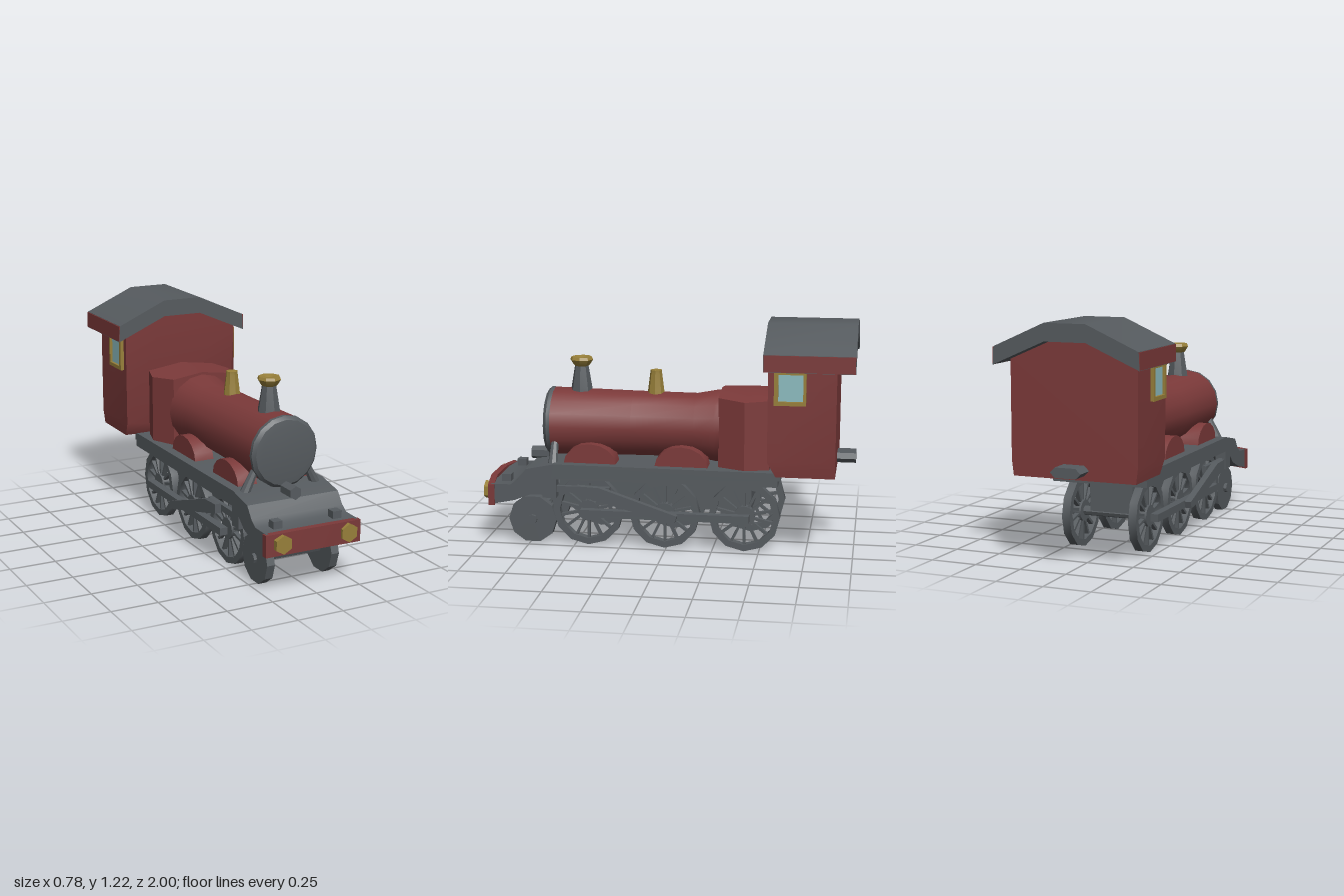
import * as THREE from 'three';
import { toCreasedNormals } from 'three/addons/utils/BufferGeometryUtils.js';

const mat = (name, color) => {
  const m = new THREE.MeshStandardMaterial({ color });
  m.name = name;
  return m;
};

export function createModel() {
  const red = mat('dark red paint', 0x7c3a3a);
  const grey = mat('iron grey', 0x565b5f);
  const gold = mat('brass', 0x98803a);
  const glass = mat('window glass', 0x8dbcc0);
  const model = new THREE.Group();
  model.name = 'steamLocomotive';

  // helpers
  const add = (name, geo, m, parent = model) => {
    const mesh = new THREE.Mesh(toCreasedNormals(geo, 0.6), m);
    mesh.name = name;
    parent.add(mesh);
    return mesh;
  };
  const box = (x0, x1, y0, y1, z0, z1) =>
    new THREE.BoxGeometry(Math.abs(x1 - x0), y1 - y0, z1 - z0)
      .translate((x0 + x1) / 2, (y0 + y1) / 2, (z0 + z1) / 2);
  const shape = pts => new THREE.Shape(pts.map(p => new THREE.Vector2(...p)));
  const extrude = (s, depth) =>
    new THREE.ExtrudeGeometry(s, { depth, bevelEnabled: false, curveSegments: 6 });
  // side profile given as [z, y], spanning x0 to x1
  const sideways = (s, x0, x1) => extrude(s, x1 - x0).rotateY(-Math.PI / 2).translate(x1, 0, 0);
  // front profile given as right half [x, y] from top to bottom, spanning z0 to z1
  const symmetric = (half, z0, z1) =>
    extrude(shape([...half, ...half.map(([x, y]) => [-x, y]).reverse()]), z1 - z0).translate(0, 0, z0);
  // moves each vertex by a rule
  const warp = (geo, rule) => {
    const p = geo.attributes.position, v = new THREE.Vector3();
    for (let i = 0; i < p.count; i++) {
      rule(v.fromBufferAttribute(p, i));
      p.setXYZ(i, v.x, v.y, v.z);
    }
    return geo;
  };
  // profile of [radius, distance] turned about an axis
  const lathe = (pts, sides) => new THREE.LatheGeometry(pts.map(p => new THREE.Vector2(...p)), sides);

  // boiler, flaring toward the firebox
  add('boiler', lathe([[0.198, -0.28], [0.196, -0.25], [0.175, -0.14], [0.178, 0.2], [0.187, 0.655]], 16)
    .rotateX(Math.PI / 2).translate(0, 0.642, 0), red);
  add('smokeboxDoor', lathe([[0.189, 0.64], [0.189, 0.66], [0.172, 0.678], [0.14, 0.683], [0, 0.687]], 16)
    .rotateX(Math.PI / 2).translate(0, 0.642, 0), grey);

  // firebox with a six-sided plan and a gently peaked top
  add('firebox', warp(new THREE.BoxGeometry(2, 1, 2, 2, 1, 2), v => {
    v.x *= [0.2, 0.238, 0.175][Math.round(v.z) + 1];
    v.z = [-0.55, -0.42, -0.275][Math.round(v.z) + 1];
    v.y = v.y > 0 ? 0.853 - 0.14 * Math.abs(v.x) : 0.45;
  }), red);

  // chimney and dome
  add('chimney', lathe([[0.062, 0.78], [0.058, 0.83], [0.037, 0.955]], 8).translate(0, 0, 0.495), grey);
  add('chimneyCap', lathe([[0.036, 0.95], [0.044, 0.955], [0.063, 0.985], [0.056, 1], [0.03, 1], [0, 0.985]], 8)
    .translate(0, 0, 0.495), gold);
  add('steamDome', lathe([[0.048, 0.79], [0.044, 0.83], [0.032, 0.925], [0.032, 0.938], [0, 0.942]], 8)
    .translate(0, 0, 0.085), gold);

  // cab with a raked lower front edge
  add('cab', warp(symmetric([[0.11, 1.135], [0.34, 1.04], [0.34, 0.53], [0.33, 0.45]], -0.9, -0.548), v => {
    if (v.y < 0.5 && v.z > -0.6) v.z -= 0.045;
  }), red);
  add('roof', symmetric([[0.11, 1.224], [0.383, 1.102], [0.388, 1.012], [0.34, 1.033], [0.11, 1.134]],
    -0.995, -0.525), grey);

  // footplate, stepping down to the front deck
  add('footplate', sideways(shape([[-0.615, 0.41], [-0.615, 0.452], [0.6, 0.457], [0.755, 0.425], [0.8, 0.365],
    [0.84, 0.337], [0.95, 0.335], [0.94, 0.225], [0.82, 0.25], [0.72, 0.29], [0.62, 0.375], [-0.6, 0.375],
    [-0.6, 0.41]]), -0.262, 0.262), grey);
  add('mainFrame', box(-0.12, 0.12, 0.2, 0.39, -0.45, 0.6), grey);

  // buffer beam, swept back at both ends
  add('bufferBeam', warp(new THREE.BoxGeometry(0.54, 0.115, 0.035, 4, 1, 1), v => {
    const a = Math.abs(v.x);
    if (a > 0.1 && a < 0.2) v.x *= 0.75;
    const t = Math.max(0, Math.abs(v.x) - 0.1) / 0.17;
    v.y += 0.288 - 0.012 * t;
    v.z += 0.973 - 0.026 * t;
  }), red);

  // front lamp and rear coupling
  add('frontLamp', new THREE.CylinderGeometry(0.036, 0.036, 0.1, 6).rotateX(Math.PI / 2)
    .translate(0, 0.457, 0.73), grey);
  add('rearCoupling', symmetric([[0.055, 0.526], [0.082, 0.5], [0.055, 0.474]], -1, -0.88), grey);

  // driving wheel: rim, spokes and hub
  const ring = (outer, inner) => {
    const s = new THREE.Shape().absarc(0, 0, outer, 0, Math.PI * 2);
    s.holes.push(new THREE.Path().absarc(0, 0, inner, 0, Math.PI * 2, true));
    return s;
  };
  const drivingWheel = (x, z) => {
    const wheel = new THREE.Group();
    wheel.name = 'drivingWheel';
    wheel.position.set(x, 0.193, z);
    add('rim', sideways(ring(0.192, 0.157), -0.022, 0.022), grey, wheel);
    add('hub', new THREE.CylinderGeometry(0.058, 0.058, 0.044, 12).rotateZ(Math.PI / 2), grey, wheel);
    for (let i = 0; i < 14; i++)
      add('spoke', new THREE.BoxGeometry(0.024, 0.125, 0.014).translate(0, 0.105, 0)
        .rotateX(i / 14 * Math.PI * 2), grey, wheel);
    model.add(wheel);
  };
  for (const z of [0.427, 0.01, -0.42]) {
    add('axle', new THREE.CylinderGeometry(0.025, 0.025, 0.4, 8).rotateZ(Math.PI / 2)
      .translate(0, 0.193, z), grey);
    for (const x of [-0.185, 0.185]) drivingWheel(x, z);
  }
  add('leadingAxle', new THREE.CylinderGeometry(0.026, 0.026, 0.45, 8).rotateZ(Math.PI / 2)
    .translate(0, 0.133, 0.735), grey);

  // parts repeated on both sides
  for (const s of [-1, 1]) {
    const span = (profile, a, b) => sideways(profile, Math.min(s * a, s * b), Math.max(s * a, s * b));

    // leading wheel
    add('leadingWheel', new THREE.CylinderGeometry(0.132, 0.132, 0.044, 10).rotateZ(Math.PI / 2)
      .translate(s * 0.186, 0.132, 0.735), grey);

    // wheel splashers
    for (const z of [0.415, -0.08]) {
      const arch = [];
      for (let i = 0; i <= 8; i++) {
        const a = i / 8 * Math.PI;
        arch.push([z + 0.143 * Math.cos(a), 0.45 + 0.112 * Math.sin(a)]);
      }
      add('splasher', span(shape(arch), 0.1, 0.21), red);
    }

    // cylinder block, piston rod, connecting rod and coupling rod
    add('cylinderBlock', box(s * 0.2, s * 0.262, 0.27, 0.385, 0.59, 0.665), grey);
    add('pistonRod', box(s * 0.225, s * 0.25, 0.3, 0.335, 0.3, 0.6), grey);
    add('connectingRod', span(shape([[0.47, 0.35], [0.35, 0.345], [-0.07, 0.205], [-0.06, 0.17], [-0.02, 0.172],
      [0.47, 0.3]]), 0.262, 0.298), grey);
    add('couplingRod', box(s * 0.22, s * 0.262, 0.17, 0.21, -0.45, 0.46), grey);
    add('crankPin', new THREE.CylinderGeometry(0.018, 0.018, 0.1, 8).rotateZ(Math.PI / 2)
      .translate(s * 0.245, 0.19, -0.03), grey);

    // smokebox strut
    const strut = add('smokeboxStrut', new THREE.CylinderGeometry(0.018, 0.028, 0.17, 8), grey);
    strut.position.set(s * 0.172, 0.505, 0.618);
    strut.rotation.z = s * 0.46;

    // deck blocks and brass buffers
    add('deckBlock', box(s * 0.145, s * 0.195, 0.33, 0.375, 0.855, 0.905), grey);
    add('buffer', new THREE.CylinderGeometry(0.049, 0.049, 0.04, 6).rotateY(Math.PI / 6).rotateX(Math.PI / 2)
      .rotateZ(Math.PI / 6).translate(s * 0.187, 0.285, 0.979), gold);

    // cab window
    const frame = shape([[-0.745, 0.836], [-0.58, 0.836], [-0.58, 1.015], [-0.745, 1.015]]);
    frame.holes.push(new THREE.Path([[-0.73, 0.856], [-0.73, 0.997], [-0.602, 0.997], [-0.602, 0.856]]
      .map(p => new THREE.Vector2(...p))));
    add('windowFrame', span(frame, 0.335, 0.36), gold);
    add('windowPane', box(s * 0.338, s * 0.346, 0.85, 1.0, -0.735, -0.595), glass);

    // painted eave along the roof edge
    add('eave', span(shape([[-0.993, 1.014], [-0.527, 1.014], [-0.527, 1.1], [-0.993, 1.1]]), 0.383, 0.389), red);
  }
  return model;
}
